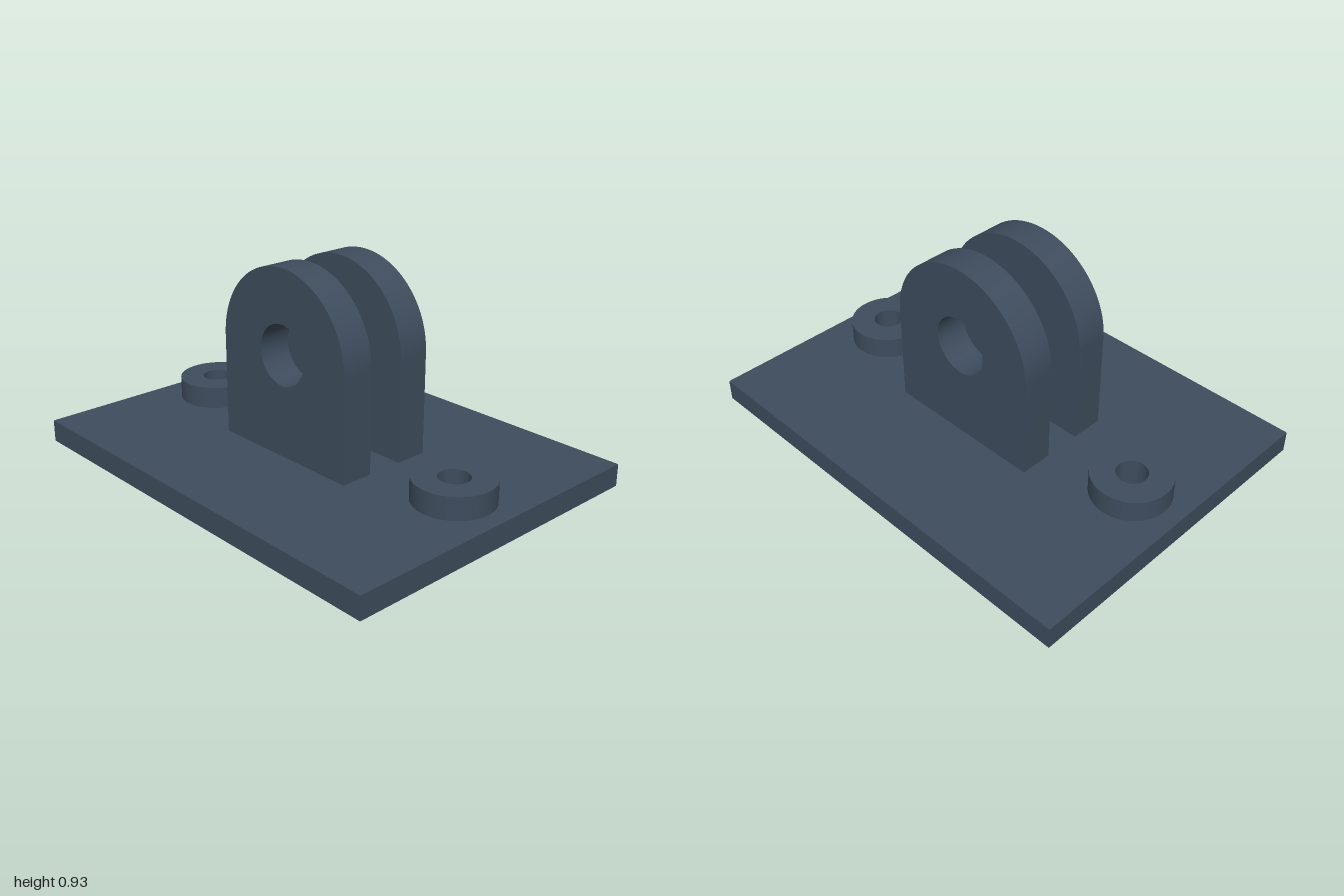
import * as THREE from 'three';
import { toCreasedNormals } from 'three/addons/utils/BufferGeometryUtils.js';

const PLATE_TOP = 0.1;
const BOLT_X = 0.75;
const BOLT_RADIUS = 0.067;

export function createModel() {
  const model = new THREE.Group();
  model.name = 'clevisBracket';

  const slate = new THREE.MeshStandardMaterial({ color: 0x3e4c5d });
  slate.name = 'slate blue';

  const circle = (Type, x, y, r) => new Type().absarc(x, y, r, 0, Math.PI * 2, false);

  // Extrude a profile, keeping curved walls smooth and corners sharp
  const extrude = (shape, depth) => toCreasedNormals(
    new THREE.ExtrudeGeometry(shape, { depth, bevelEnabled: false, curveSegments: 40 }), 0.6);

  const add = (name, geometry, x, y, z) => {
    const mesh = new THREE.Mesh(geometry, slate);
    mesh.name = name;
    mesh.position.set(x, y, z);
    model.add(mesh);
  };

  // Base plate with two bolt holes
  const plate = new THREE.Shape();
  plate.moveTo(-1, -0.75).lineTo(1, -0.75).lineTo(1, 0.75).lineTo(-1, 0.75).closePath();
  for (const side of [-1, 1]) plate.holes.push(circle(THREE.Path, side * BOLT_X, 0, BOLT_RADIUS));
  add('basePlate', extrude(plate, PLATE_TOP).rotateX(-Math.PI / 2), 0, 0, 0);

  // Raised rings around the bolt holes
  const ring = circle(THREE.Shape, 0, 0, 0.174);
  ring.holes.push(circle(THREE.Path, 0, 0, BOLT_RADIUS));
  const ringGeometry = extrude(ring, 0.1).rotateX(-Math.PI / 2);
  add('leftBoss', ringGeometry, BOLT_X, PLATE_TOP, 0);
  add('rightBoss', ringGeometry, -BOLT_X, PLATE_TOP, 0);

  // Pair of round-topped lugs with a pin hole
  const halfWidth = 0.372, pinY = 0.554, thickness = 0.149;
  const lug = new THREE.Shape();
  lug.moveTo(-halfWidth, PLATE_TOP).lineTo(halfWidth, PLATE_TOP).lineTo(halfWidth, pinY);
  lug.absarc(0, pinY, halfWidth, 0, Math.PI, false);
  lug.closePath();
  lug.holes.push(circle(THREE.Path, 0, pinY, 0.134));
  const lugGeometry = extrude(lug, thickness).translate(0, 0, -thickness / 2);
  add('frontLug', lugGeometry, 0, 0, 0.1575);
  add('backLug', lugGeometry, 0, 0, -0.1575);

  return model;
}
